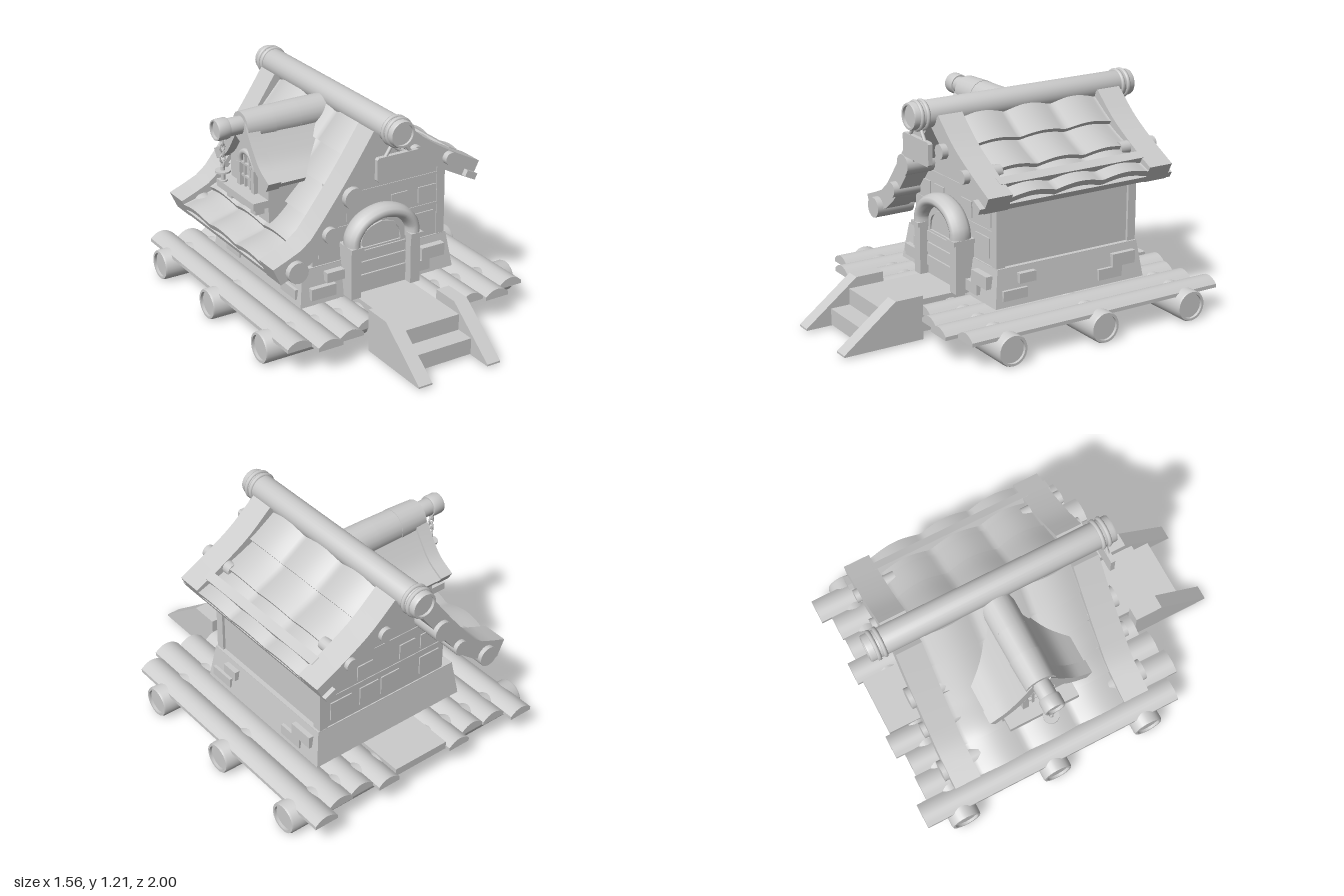
import * as THREE from 'three';
import { toCreasedNormals } from 'three/addons/utils/BufferGeometryUtils.js';

const mat = new THREE.MeshStandardMaterial({ color: 0xcccccc });
const matDouble = new THREE.MeshStandardMaterial({ color: 0xcccccc, side: THREE.DoubleSide });
const V2 = (p) => new THREE.Vector2(p[0], p[1]);

function add(parent, name, geo, pos = [0, 0, 0], rot = [0, 0, 0], m = mat) {
  const mesh = new THREE.Mesh(geo, m);
  mesh.name = name;
  mesh.position.set(...pos);
  mesh.rotation.set(...rot);
  parent.add(mesh);
  return mesh;
}

function group(parent, name) {
  const g = new THREE.Group();
  g.name = name;
  parent.add(g);
  return g;
}

// Box given by its bounds
function box(parent, name, x0, x1, y0, y1, z0, z1) {
  return add(parent, name, new THREE.BoxGeometry(x1 - x0, y1 - y0, z1 - z0),
    [(x0 + x1) / 2, (y0 + y1) / 2, (z0 + z1) / 2]);
}

function prism(pts, depth) {
  return new THREE.ExtrudeGeometry(new THREE.Shape(pts.map(V2)), { depth, bevelEnabled: false, curveSegments: 16 });
}

// Log along y with hollowed ends
function logGeo(r, len, inset = 0.015) {
  const h = len / 2, q = r * 0.8;
  const pts = [[0, inset - h], [q, inset - h], [q, -h], [r * 0.95, -h], [r, 0.01 - h],
    [r, h - 0.01], [r * 0.95, h], [q, h], [q, h - inset], [0, h - inset]];
  return toCreasedNormals(new THREE.LatheGeometry(pts.map(V2), 28), 0.6);
}

// Slab bent along a profile (points from left to right); lift, z0 and hump vary over it
function bent(pts, { t0 = 0, t1 = 1, th, z0, z1, lift = () => 0, hump = () => 0, zs = 1 }) {
  const curve = new THREE.CatmullRomCurve3(pts.map((p) => new THREE.Vector3(p[0], p[1], 0)));
  const geo = new THREE.BoxGeometry(1, 1, 1, 10, 1, zs);
  const a = geo.attributes.position;
  for (let i = 0; i < a.count; i++) {
    const u = a.getX(i) + 0.5, t = t0 + (t1 - t0) * u;
    const start = typeof z0 === 'function' ? z0(t) : z0;
    const z = start + (z1 - start) * (a.getZ(i) + 0.5);
    const p = curve.getPointAt(t), d = curve.getTangentAt(t);
    const n = a.getY(i) * th + lift(u) + hump(z);
    a.setXYZ(i, p.x - d.y * n, p.y + d.x * n, z);
  }
  geo.computeVertexNormals();
  return geo;
}

const LEFT = [[-0.67, 0.46], [-0.47, 0.55], [-0.33, 0.71], [-0.18, 0.91], [-0.05, 1.1]];
const RIGHT = [[0.05, 1.1], [0.2, 0.97], [0.36, 0.87], [0.54, 0.775]];

function buildDeck(root) {
  const deck = group(root, 'deck');
  for (const z of [0.33, -0.235, -0.795])
    add(deck, 'deckLog', logGeo(0.085, 1.56), [0, 0.09, z], [0, 0, Math.PI / 2]);
  // x start, x end, back, front
  const planks = [[0.59, 0.73, -1, 0.54], [0.445, 0.59, -0.94, 0.61], [0.305, 0.445, -0.93, 0.58], [0.17, 0.305, -0.98, 0.53]];
  for (const s of [-1, 1]) for (const [a, b, back, front] of planks) {
    const geo = new THREE.BoxGeometry(b - a, 0.05, front - back, 8, 1, 1);
    const p = geo.attributes.position;
    for (let i = 0; i < p.count; i++) {
      const k = p.getX(i) / (b - a) * 2;
      if (p.getY(i) > 0) p.setY(i, 0.027 - 0.032 * k * k);
    }
    geo.computeVertexNormals();
    add(deck, 'plank', geo, [s * (a + b) / 2, 0.165, (front + back) / 2]);
  }
  box(deck, 'backPlank', -0.17, 0.17, 0.14, 0.185, -0.95, -0.62);

  const steps = group(root, 'steps');
  box(steps, 'lowerStep', -0.17, 0.17, 0.02, 0.11, 0.28, 0.855);
  box(steps, 'upperStep', -0.17, 0.17, 0.11, 0.2, 0.24, 0.745);
  const cheek = prism([[0.54, 0.015], [1, 0.015], [1, 0.025], [0.7, 0.255], [0.54, 0.255]], 0.08);
  for (const x of [0.25, -0.17]) add(steps, 'stepSide', cheek, [x, 0, 0], [0, -Math.PI / 2, 0]);
}

function buildWalls(root) {
  const house = group(root, 'house');
  // Tapered stone base, open below
  const base = new THREE.CylinderGeometry(0.94 * Math.SQRT2, Math.SQRT2, 0.2, 4, 1, true);
  base.rotateY(Math.PI / 4);
  base.scale(0.48, 1, 0.47);
  add(house, 'stoneBase', toCreasedNormals(base, 0.3), [0, 0.29, -0.225], [0, 0, 0], matDouble);
  const ledge = new THREE.Shape([[-0.451, -0.442], [0.451, -0.442], [0.451, 0.442], [-0.451, 0.442]].map(V2));
  ledge.holes.push(new THREE.Path([[-0.36, -0.4], [-0.36, 0.4], [0.4, 0.4], [0.4, -0.4]].map(V2)));
  add(house, 'baseLedge', new THREE.ExtrudeGeometry(ledge, { depth: 0.02, bevelEnabled: false }),
    [0, 0.372, -0.225], [-Math.PI / 2, 0, 0]);

  // Gable and side walls
  const gable = prism([[-0.385, 0.38], [0.435, 0.38], [0.435, 0.8], [0.34, 0.85], [0.2, 0.94], [0.04, 1.09],
    [-0.04, 1.09], [-0.17, 0.9], [-0.31, 0.7], [-0.385, 0.61]], 0.03);
  for (const z of [0.18, -0.66]) add(house, 'gableWall', gable, [0, 0, z]);
  box(house, 'rightWall', 0.395, 0.425, 0.38, 0.8, -0.65, 0.2);
  box(house, 'leftWall', -0.38, -0.35, 0.38, 0.63, -0.65, 0.2);
  for (const z of [0.165, -0.665]) box(house, 'cornerPost', 0.39, 0.44, 0.38, 0.8, z, z + 0.05);

  // Raised bricks: x start, x end, y start, y end
  const bricks = [[-0.32, -0.22, 0.6, 0.69], [-0.18, -0.08, 0.6, 0.69], [0.1, 0.2, 0.6, 0.69], [0.27, 0.385, 0.6, 0.69],
    [-0.35, -0.22, 0.43, 0.54], [0.235, 0.37, 0.43, 0.54]];
  for (const [a, b, c, d] of bricks) {
    box(house, 'frontBrick', a, b, c, d, 0.205, 0.217);
    box(house, 'backBrick', a, b, c, d, -0.667, -0.655);
  }
  for (const x of [-0.08, 0.06]) box(house, 'backBrick', x, x + 0.12, 0.43, 0.54, -0.667, -0.655);
  for (const y of [0.57, 0.745]) {
    box(house, 'backCourse', y > 0.7 ? -0.29 : -0.36, 0.39, y, y + 0.012, -0.664, -0.655);
    box(house, 'frontCourse', y > 0.7 ? -0.29 : -0.36, 0.39, y, y + 0.012, 0.205, 0.214);
  }

  // Stones on the base
  for (const [a, b, c, d] of [[-0.42, -0.27, 0.225, 0.29], [-0.325, -0.22, 0.305, 0.36], [0.27, 0.415, 0.28, 0.35], [0.21, 0.32, 0.22, 0.28]])
    box(house, 'frontStone', a, b, c, d, 0.2, 0.262);
  for (const [a, b, c, d] of [[0, 0.1, 0.305, 0.36], [0.05, 0.2, 0.225, 0.28], [-0.635, -0.49, 0.28, 0.35], [-0.55, -0.4, 0.22, 0.28]]) {
    box(house, 'rightStone', 0.43, 0.485, c, d, a, b);
    box(house, 'leftStone', -0.485, -0.43, c, d, a, b);
  }

  // Door
  const door = group(house, 'door');
  const arch = (w, y0, y1, y2) => {
    const s = new THREE.Shape();
    s.moveTo(-w, y0);
    s.lineTo(w, y0);
    s.lineTo(w, y1);
    s.bezierCurveTo(w, y1 + 0.1, w * 0.4, y2 - 0.01, 0, y2);
    s.bezierCurveTo(-w * 0.4, y2 - 0.01, -w, y1 + 0.1, -w, y1);
    return s;
  };
  const solid = (s, depth) => new THREE.ExtrudeGeometry(s, { depth, bevelEnabled: false });
  add(door, 'doorPanel', solid(arch(0.17, 0.2, 0.48, 0.64), 0.07), [0, 0, 0.2]);
  const rim = arch(0.13, 0.45, 0.47, 0.59);
  rim.holes.push(arch(0.115, 0.46, 0.47, 0.57));
  add(door, 'doorInnerArch', solid(rim, 0.015), [0, 0, 0.265]);
  for (const y of [0.25, 0.325, 0.39]) box(door, 'doorBoard', -0.15, 0.15, y, y + 0.055, 0.26, 0.28);
  for (const s of [-1, 1]) box(door, 'doorPost', s * 0.185 - 0.03, s * 0.185 + 0.03, 0.2, 0.49, 0.2, 0.32);
  const path = new THREE.CatmullRomCurve3([[-0.185, 0.47], [-0.18, 0.54], [-0.12, 0.615], [0, 0.65], [0.12, 0.615], [0.18, 0.54], [0.185, 0.47]]
    .map((p) => new THREE.Vector3(p[0], p[1], 0)));
  const tube = new THREE.TubeGeometry(path, 32, 0.038, 12);
  tube.scale(1, 1, 1.6);
  add(door, 'doorArch', tube, [0, 0, 0.275]);
  for (const s of [-1, 1]) box(door, 'archFoot', s * 0.185 - 0.038, s * 0.185 + 0.038, 0.47, 0.495, 0.2, 0.336);
}

function buildRoof(root) {
  const roof = group(root, 'roof');
  const hump = (z) => 0.028 * Math.abs(Math.sin(Math.PI * (z + 0.65) / 0.29)) - 0.01;
  const side = (pts, rows, name, low) => {
    add(roof, name + 'Underlay', bent(pts, { th: 0.03, z0: -0.76, z1: 0.3, lift: () => -0.025 }));
    for (let i = 0; i < rows; i++)
      add(roof, name + 'TileRow', bent(pts, {
        t0: i / rows, t1: (i + 1) / rows, th: 0.035, z0: -0.67, z1: 0.23, zs: 48, hump,
        lift: (u) => 0.025 * (low ? u : 1 - u),
      }));
    for (const z of [0.2, -0.8])
      add(roof, name + 'Beam', bent(pts, { th: 0.105, z0: z, z1: z + 0.145, lift: () => 0.005 }));
  };
  side(LEFT, 5, 'left', false);
  side(RIGHT, 3, 'right', true);
  add(roof, 'batten', bent(RIGHT, { t0: 0.78, t1: 0.87, th: 0.04, z0: -0.67, z1: 0.23, lift: () => 0.04 }));
  add(roof, 'eaveRail', bent(RIGHT, { t0: 0.88, t1: 1, th: 0.035, z0: -0.825, z1: 0.375, lift: () => -0.025 }));

  // Purlin ends: x, y, radius
  for (const [x, y, r] of [[-0.565, 0.475, 0.058], [-0.365, 0.63, 0.043], [-0.23, 0.805, 0.058], [0.365, 0.89, 0.036], [0.15, 0.97, 0.04]])
    for (const z of [0.265, -0.71])
      add(roof, 'purlinEnd', new THREE.CylinderGeometry(r, r, 0.23, 16), [x, y, z], [Math.PI / 2, 0, 0]);

  // Ridge log with rope rings
  add(roof, 'ridgeLog', logGeo(0.073, 1.39), [0, 1.135, -0.225], [Math.PI / 2, 0, 0]);
  for (const z of [0.39, 0.425, -0.84, -0.875])
    add(roof, 'ridgeRing', new THREE.TorusGeometry(0.072, 0.012, 8, 28), [0, 1.135, z]);

  // Hanging sign
  const sign = group(root, 'sign');
  const plate = prism([[-0.12, 0.89], [0.12, 0.89], [0.13, 0.9], [0.13, 1.01], [0.12, 1.02], [-0.12, 1.02], [-0.13, 1.01], [-0.13, 0.9]], 0.025);
  add(sign, 'signBoard', plate, [0, 0, 0.405]);
  for (const s of [-1, 1])
    add(sign, 'signStrap', new THREE.CylinderGeometry(0.01, 0.01, 0.11, 8), [s * 0.055, 1.045, 0.417], [0, 0, s * 0.6]);
}

// Dormer is built facing local +z, then turned to face -x
function buildDormer(root) {
  const d = group(root, 'dormer');
  d.position.z = -0.225;
  d.rotation.y = -Math.PI / 2;
  const wall = prism([[-0.2, 0.58], [0.2, 0.58], [0.2, 0.84], [0.09, 0.98], [0, 1.07], [-0.09, 0.98], [-0.2, 0.84]], 0.2);
  add(d, 'dormerWall', wall, [0, 0, 0.305]);
  const slopes = [[[0.03, 1.09], [0.1, 0.98], [0.18, 0.88], [0.28, 0.82]], [[-0.28, 0.82], [-0.18, 0.88], [-0.1, 0.98], [-0.03, 1.09]]];
  slopes.forEach((pts, i) => {
    const down = (t) => (i ? 1 - t : t);
    add(d, 'dormerRoof', bent(pts, { th: 0.03, z0: (t) => 0.06 + 0.27 * down(t), z1: 0.5 }));
    add(d, 'dormerBeam', bent(pts, { th: 0.055, z0: 0.48, z1: 0.555 }));
  });
  // Ridge caps and end log
  for (let i = 0; i < 3; i++)
    add(d, 'dormerRidgeCap', new THREE.CylinderGeometry(0.09 - i * 0.003, 0.09, 0.165, 20, 1, false), [0, 1.062, 0.15 + i * 0.158], [Math.PI / 2, 0, 0]);
  add(d, 'dormerRidgeLog', logGeo(0.048, 0.2), [0, 1.075, 0.58], [Math.PI / 2, 0, 0]);
  add(d, 'dormerLogCap', logGeo(0.058, 0.07), [0, 1.075, 0.665], [Math.PI / 2, 0, 0]);

  // Arched window with grille and sill
  add(d, 'windowArch', new THREE.TorusGeometry(0.075, 0.017, 8, 20, Math.PI), [0, 0.84, 0.515]);
  for (const s of [-1, 1]) box(d, 'windowPost', s * 0.075 - 0.017, s * 0.075 + 0.017, 0.7, 0.84, 0.5, 0.53);
  for (const x of [-0.028, 0.028]) box(d, 'windowBar', x - 0.006, x + 0.006, 0.7, 0.905, 0.505, 0.52);
  for (const y of [0.77, 0.84]) box(d, 'windowBar', -0.07, 0.07, y - 0.006, y + 0.006, 0.505, 0.52);
  box(d, 'windowSill', -0.2, 0.2, 0.67, 0.71, 0.48, 0.595);
  for (const s of [-1, 1]) box(d, 'sillBracket', s * 0.13 - 0.025, s * 0.13 + 0.025, 0.62, 0.67, 0.48, 0.56);

  // Chain with a hanging lamp plate
  const lamp = group(d, 'hangingLamp');
  for (let i = 0; i < 5; i++) {
    const link = add(lamp, 'chainLink', new THREE.TorusGeometry(0.014, 0.005, 6, 12), [0, 1.005 - i * 0.031, 0.66], [0, i % 2 * Math.PI / 2, 0]);
    link.scale.y = 1.4;
  }
  add(lamp, 'lampDisc', new THREE.CylinderGeometry(0.042, 0.042, 0.01, 20), [0, 0.842, 0.66]);
  add(lamp, 'lampStem', new THREE.CylinderGeometry(0.012, 0.012, 0.08, 10), [0, 0.828, 0.66]);
  add(lamp, 'lampFoot', new THREE.CylinderGeometry(0.024, 0.024, 0.008, 16), [0, 0.79, 0.66]);
}

export function createModel() {
  const root = new THREE.Group();
  root.name = 'raftCottage';
  buildDeck(root);
  buildWalls(root);
  buildRoof(root);
  buildDormer(root);
  return root;
}
